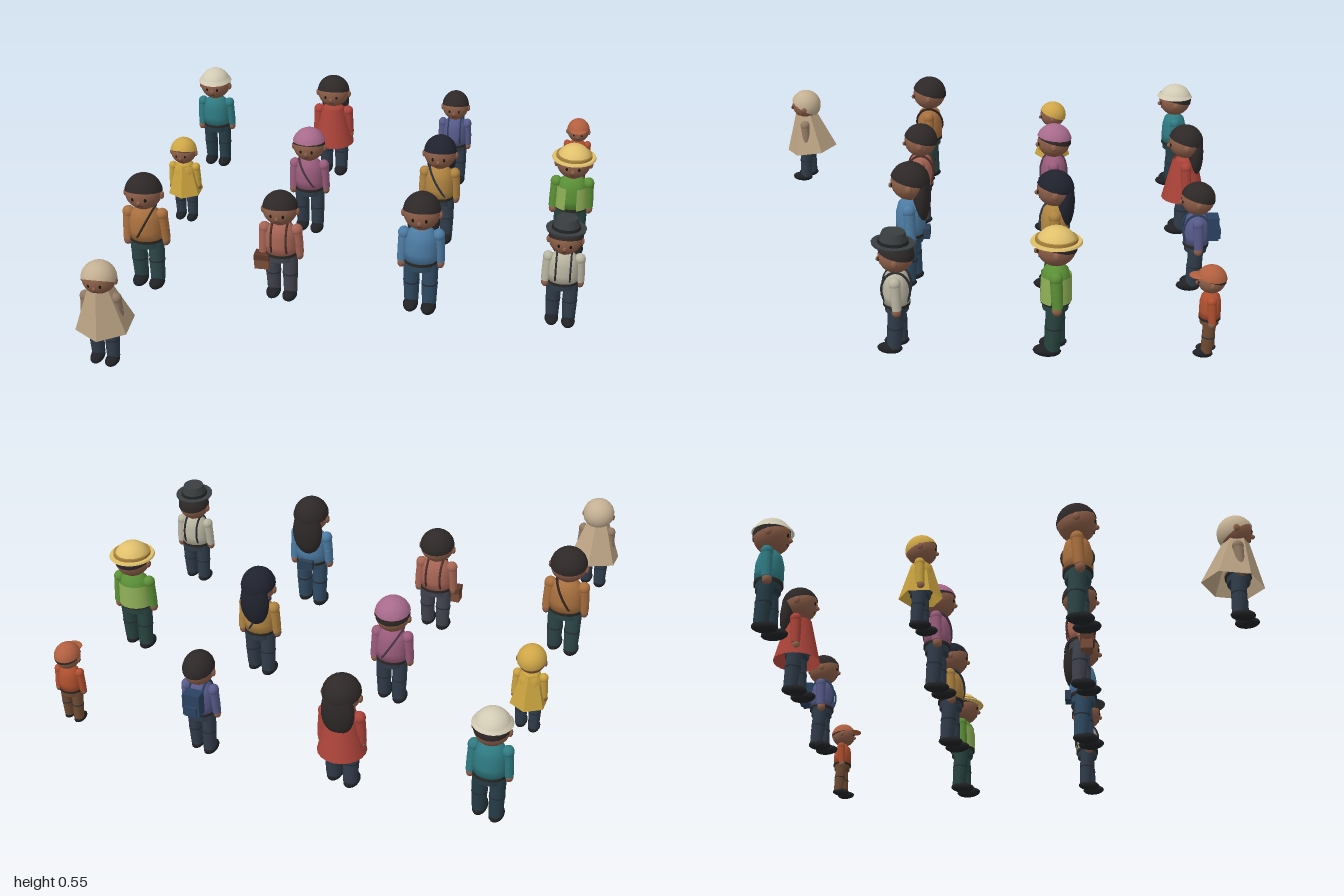
import * as THREE from 'three';

const mats = {};
const mat = (color) => (mats[color] ??= new THREE.MeshStandardMaterial({ color, side: THREE.DoubleSide }));
const facetMats = {};
const facetMat = (color) => (facetMats[color] ??= new THREE.MeshStandardMaterial({ color, side: THREE.DoubleSide, flatShading: true }));

function add(parent, name, geo, color, x = 0, y = 0, z = 0) {
  const mesh = new THREE.Mesh(geo, typeof color === 'number' ? mat(color) : color);
  mesh.name = name;
  mesh.position.set(x, y, z);
  parent.add(mesh);
  return mesh;
}
function ball(parent, name, color, x, y, z, rx, ry = rx, rz = rx, seg = 16) {
  const m = add(parent, name, new THREE.SphereGeometry(1, seg, Math.round(seg * 0.7)), color, x, y, z);
  m.scale.set(rx, ry, rz);
  return m;
}
const tube = (r1, r2, h, seg = 12) => new THREE.CylinderGeometry(r1, r2, h, seg);

// Dome covering the top of the head, tilted back to bare the forehead
function dome(parent, name, color, r = 0.153, reach = 1.5, tilt = -0.25) {
  const m = add(parent, name, new THREE.SphereGeometry(r, 20, 10, 0, Math.PI * 2, 0, reach), color, 0, 0.855, 0);
  m.rotation.x = tilt;
  return m;
}

// Loop of webbing around the torso; lean turns a brace into a shoulder strap
function strap(parent, color, x, lean = 0) {
  const m = add(parent, 'strap', new THREE.TorusGeometry(1, 0.08, 6, 24), color, x, 0.57, 0);
  m.rotation.set(0, Math.PI / 2, 0);
  m.scale.set(0.118, lean ? 0.18 : 0.155, 0.12);
  const pivot = new THREE.Group();
  pivot.name = 'strapPivot';
  m.position.y = 0;
  pivot.position.y = 0.57;
  pivot.rotation.z = lean;
  pivot.add(m);
  parent.add(pivot);
}

const hats = {
  bucket(g, c) {
    dome(g, 'hatCrown', c, 0.157, 1.3, 0);
    add(g, 'hatBrim', new THREE.CylinderGeometry(0.14, 0.168, 0.035, 20, 1, true), c, 0, 0.91, 0.005);
  },
  straw(g, c) {
    dome(g, 'hatCrown', c, 0.157, 1.35, 0);
    add(g, 'hatBrim', tube(0.185, 0.192, 0.014, 24), c, 0, 0.9, 0);
    add(g, 'hatBand', tube(0.155, 0.157, 0.025, 24), 0xa8823c, 0, 0.917, 0);
  },
  brimmed(g, c) {
    const hat = new THREE.Group();
    hat.name = 'hat';
    hat.position.set(0, 0.96, 0.02);
    hat.rotation.x = -0.06;
    g.add(hat);
    add(hat, 'hatBrim', tube(0.18, 0.175, 0.018, 20), c);
    add(hat, 'hatCrown', tube(0.095, 0.125, 0.1, 20), c, 0, 0.055, 0);
    add(hat, 'hatBand', tube(0.124, 0.13, 0.025, 20), 0x1f2224, 0, 0.02, 0);
  },
  cap(g, c) {
    dome(g, 'cap', c, 0.157, 1.45, -0.1);
    ball(g, 'capPeak', c, 0, 0.9, 0.13, 0.11, 0.014, 0.1);
  },
  beanie(g, c) {
    dome(g, 'beanie', c, 0.16, 1.3, -0.1);
  },
  scarf(g, c) {
    dome(g, 'headScarf', c, 0.156, 1.55, -0.35);
  },
  hood(g, c) {
    dome(g, 'hood', c, 0.158, 1.75, -0.55);
  },
};

function limb(parent, name, x, y, swing, r, len, colors, color) {
  const g = new THREE.Group();
  g.name = name;
  g.position.set(x, y, 0);
  g.rotation.x = swing;
  parent.add(g);
  add(g, 'upper', tube(r, r * 0.95, len / 2), color, 0, -len / 4, 0);
  add(g, 'lower', tube(r * 0.97, r * 0.86, len / 2), colors ?? color, 0, -len * 0.75, 0);
  return g;
}

function person(p) {
  const g = new THREE.Group();
  g.name = p.name;
  const skin = p.skin ?? 0x8c5e48, hair = p.hair ?? 0x2e2828, pants = p.pants ?? 0x303c4a;

  // Legs in mid step, left foot ahead
  for (const s of [1, -1]) {
    const leg = limb(g, s > 0 ? 'leftLeg' : 'rightLeg', s * 0.076, 0.42, -s * 0.06, 0.068, 0.36, pants, pants);
    ball(leg, 'shoe', 0x1f2124, 0, -0.375, 0.035, 0.062, 0.046, 0.105);
    add(leg, 'kneeSeam', tube(0.068, 0.068, 0.012), 0x242c36, 0, -0.18, 0);
  }
  add(g, 'hips', tube(0.132, 0.125, 0.1, 16), pants, 0, 0.42, 0).scale.z = 0.78;

  // Torso
  const outline = [[0, 0.43], [0.134, 0.43], [0.138, 0.52], [0.134, 0.61], [0.112, 0.68], [0.06, 0.725], [0, 0.735]];
  const torso = add(g, 'torso', new THREE.LatheGeometry(outline.map(([x, y]) => new THREE.Vector2(x, y)), 20), p.top);
  torso.scale.z = 0.82;
  add(g, 'belt', tube(0.138, 0.138, 0.025, 20), 0x2a2724, 0, 0.435, 0).scale.z = 0.82;

  // Arms swing against the legs
  for (const s of [1, -1]) {
    const sleeve = p.sleeve ?? p.top;
    const arm = limb(g, s > 0 ? 'leftArm' : 'rightArm', s * 0.14, 0.66, s * 0.06, 0.046, 0.23, sleeve, sleeve);
    arm.rotation.z = s * 0.06;
    ball(arm, 'shoulder', sleeve, 0, 0, 0, 0.05);
    ball(arm, 'hand', skin, 0, -0.25, 0.005, 0.035, 0.042, 0.038);
  }

  // Head and face
  add(g, 'neck', tube(0.055, 0.06, 0.06), skin, 0, 0.725, 0);
  ball(g, 'head', skin, 0, 0.855, 0, 0.15, 0.144, 0.146, 24);
  ball(g, 'nose', skin, 0, 0.82, 0.145, 0.018, 0.02, 0.02, 10);
  for (const s of [1, -1]) {
    ball(g, 'ear', skin, s * 0.148, 0.835, 0, 0.02, 0.034, 0.028, 10);
    ball(g, 'eye', 0x171413, s * 0.052, 0.842, 0.134, 0.012, 0.016, 0.01, 8);
  }
  add(g, 'mouth', new THREE.BoxGeometry(0.04, 0.007, 0.01), 0x4a2d25, 0, 0.782, 0.124);
  if (p.hat !== 'hood') dome(g, 'hair', hair);
  if (p.hat) hats[p.hat](g, p.hatColor);
  if (p.longHair) ball(g, 'longHair', hair, 0, 0.74, -0.09, 0.135, 0.21, 0.07);

  // Dress or cloak, from shoulders to hem
  if (p.dress) {
    const { hem, top, r1, r2, sides, tilt = 0 } = p.dress;
    const d = add(g, 'dress', new THREE.CylinderGeometry(r1, r2, top - hem, sides, 1, true),
      sides < 8 ? facetMat(p.top) : p.top, 0, (hem + top) / 2, p.dress.z ?? 0);
    d.rotation.x = tilt;
  }

  // Things worn or carried
  if (p.braces) for (const s of [1, -1]) strap(g, p.braces, s * 0.065);
  if (p.sash) strap(g, p.sash, 0, p.sashLean ?? 0.55);
  if (p.vest) {
    for (const s of [1, -1]) {
      const v = add(g, 'vestFront', new THREE.CylinderGeometry(0.137, 0.145, 0.2, 10, 1, true, s > 0 ? 0.35 : -1.3, 0.95), p.vest, 0, 0.54, 0);
      v.scale.z = 0.84;
    }
    const back = add(g, 'vestBack', new THREE.CylinderGeometry(0.137, 0.145, 0.2, 14, 1, true, 1.85, 2.6), p.vest, 0, 0.54, 0);
    back.scale.z = 0.84;
  }
  if (p.backpack) {
    add(g, 'backpack', new THREE.BoxGeometry(0.17, 0.21, 0.1), p.backpack, 0, 0.59, -0.14);
    add(g, 'backpackPocket', new THREE.BoxGeometry(0.12, 0.09, 0.03), p.backpack, 0, 0.54, -0.195);
    for (const s of [1, -1]) strap(g, p.backpack, s * 0.07);
  }
  if (p.satchel) {
    add(g, 'satchel', new THREE.BoxGeometry(0.125, 0.13, 0.1), p.satchel, -0.155, 0.365, 0.05);
    add(g, 'satchelFlap', new THREE.BoxGeometry(0.13, 0.05, 0.108), 0x5c392a, -0.155, 0.41, 0.05);
  }
  if (p.pouch) add(g, 'pouch', new THREE.BoxGeometry(0.12, 0.08, 0.05), p.pouch, 0, 0.44, -0.125);

  g.scale.setScalar(p.h);
  g.scale.x *= p.wide ?? 1;
  g.position.set(p.x, 0, p.z);
  return g;
}

const X = [-0.89, -0.297, 0.303, 0.897], Z = [-0.9, -0.307, 0.297, 0.905];
const crowd = [
  { name: 'personInTeal', x: X[0], z: Z[0], h: 0.505, wide: 0.94, top: 0x2f7b83, pants: 0x263c46, hat: 'bucket', hatColor: 0xd2cbb4 },
  { name: 'womanInRed', x: X[1], z: Z[0], h: 0.51, top: 0xab4339, longHair: true,
    dress: { hem: 0.33, top: 0.7, r1: 0.105, r2: 0.193, sides: 20 } },
  { name: 'pupilWithBackpack', x: X[2], z: Z[0], h: 0.475, wide: 0.88, top: 0x575a8a, backpack: 0x2b4261 },
  { name: 'childInOrange', x: X[3], z: Z[0], h: 0.375, wide: 0.92, top: 0xb0502f, pants: 0x6e4a32, hat: 'cap', hatColor: 0xb2603f },
  { name: 'girlInYellow', x: X[0], z: Z[1], h: 0.41, wide: 0.95, top: 0xc9a23f, sleeve: 0xc9a23f, hat: 'scarf', hatColor: 0xcfa648,
    dress: { hem: 0.35, top: 0.7, r1: 0.1, r2: 0.208, sides: 6 } },
  { name: 'personInPink', x: X[1], z: Z[1], h: 0.505, wide: 0.95, top: 0x9a5c7c, hat: 'beanie', hatColor: 0xa86a8c, sash: 0x4a3644 },
  { name: 'womanInMustard', x: X[2], z: Z[1], h: 0.52, wide: 0.93, top: 0xb08440, hair: 0x20222e, longHair: true, sash: 0x2c3346 },
  { name: 'gardenerInGreen', x: X[3], z: Z[1], h: 0.525, wide: 0.97, top: 0x5b9036, pants: 0x28443f, hat: 'straw', hatColor: 0xe0c06c, vest: 0x8fb057 },
  { name: 'manInOchre', x: X[0], z: Z[2], h: 0.53, top: 0xa9703e, pants: 0x2c4547, sash: 0x2f2622, sashLean: -0.5 },
  { name: 'travellerWithSatchel', x: X[1], z: Z[2], h: 0.5, top: 0xa66454, pants: 0x41434e, braces: 0x4a2f28, satchel: 0x7a4c39 },
  { name: 'womanInBlue', x: X[2], z: Z[2], h: 0.548, wide: 0.95, top: 0x4c7ba3, pants: 0x2f4a62, longHair: true, pouch: 0x2b3f55 },
  { name: 'manInBrimmedHat', x: X[3], z: Z[2] + 0.008, h: 0.472, wide: 0.98, top: 0xb9b5a2, hat: 'brimmed', hatColor: 0x3a3e40, braces: 0x2c2f33 },
  { name: 'personInCloak', x: X[0], z: Z[3], h: 0.453, top: 0xb9a182, sleeve: 0x927a64, hat: 'hood', hatColor: 0xc4b093,
    dress: { hem: 0.36, top: 0.8, r1: 0.1, r2: 0.268, sides: 6, tilt: 0.13, z: -0.02 } },
];

export function createModel() {
  const model = new THREE.Group();
  model.name = 'crowd';
  for (const p of crowd) model.add(person(p));
  return model;
}
